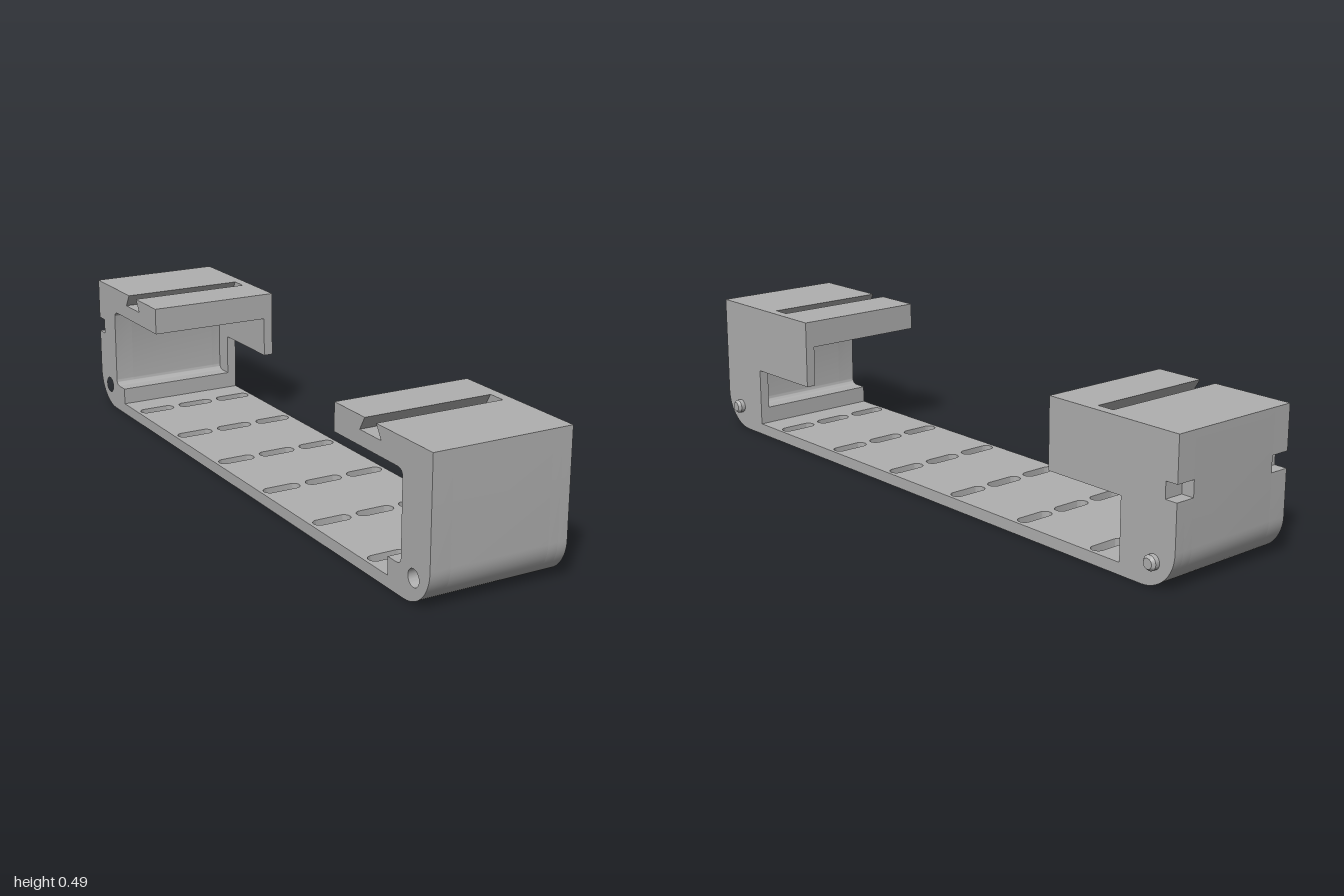
import * as THREE from 'three';
import { toCreasedNormals } from 'three/addons/utils/BufferGeometryUtils.js';

const END = 1.17, HALF = 0.244, TOP = 0.49, PLATE = 0.04, FOOT = 0.95, LIP = 0.64;
const PIN_X = 1.087, PIN_Y = 0.083;

// Outline of one hooked end, drawn at +x and flipped by side
function hookShape(side, { notch = false, hole = false, panel = false }) {
  const s = new THREE.Shape();
  const to = (x, y) => s.lineTo(side * x, y);
  const bend = (cx, cy, x, y) => s.quadraticCurveTo(side * cx, cy, side * x, y);
  const r = 0.13;
  s.moveTo(side * FOOT, 0);
  to(END - r, 0);
  // rounded lower corner
  for (let i = 1; i <= 14; i++) {
    const a = (i / 14) * Math.PI / 2;
    to(END - r + r * Math.sin(a), r - r * Math.cos(a));
  }
  if (notch) [[END, 0.285], [END - 0.045, 0.285], [END - 0.045, 0.34], [END, 0.34]].forEach(p => to(...p));
  to(END, TOP);
  if (panel) {
    // closing panel at the back
    to(LIP, TOP); to(LIP, 0.25); to(FOOT, 0.25);
  } else {
    // dovetail groove, then the lip and the filleted pocket
    to(0.876, TOP); to(0.904, 0.445); to(0.786, 0.445); to(0.814, TOP);
    to(LIP, TOP); to(LIP, 0.395);
    to(0.99, 0.395); bend(1.02, 0.395, 1.02, 0.37);
    to(1.02, 0.122); bend(1.02, 0.1, 0.995, 0.1);
    to(FOOT, 0.1);
  }
  s.closePath();
  if (hole) {
    const h = new THREE.Path();
    h.absarc(side * PIN_X, PIN_Y, 0.029, 0, Math.PI * 2, true);
    s.holes.push(h);
  }
  return s;
}

function extrude(shape, depth) {
  return new THREE.ExtrudeGeometry(shape, { depth, bevelEnabled: false, curveSegments: 12 });
}

export function createModel() {
  const grey = new THREE.MeshStandardMaterial({ color: 0xb0b0b0 });
  grey.name = 'grey';
  const model = new THREE.Group();
  model.name = 'bracket';
  const body = new THREE.Group();
  body.name = 'bracketBody';
  body.rotation.y = -Math.PI / 4;
  model.add(body);

  const add = (parent, name, geometry) => {
    const mesh = new THREE.Mesh(toCreasedNormals(geometry, 0.5), grey);
    mesh.name = name;
    parent.add(mesh);
    return mesh;
  };

  // Floor plate with six rows of three slots
  const floor = new THREE.Shape();
  floor.moveTo(-FOOT, -HALF);
  floor.lineTo(FOOT, -HALF);
  floor.lineTo(FOOT, HALF);
  floor.lineTo(-FOOT, HALF);
  floor.closePath();
  const sr = 0.023, sl = 0.045;
  for (let row = 0; row < 6; row++) {
    for (let col = -1; col <= 1; col++) {
      const x = (row - 2.5) * 0.33, z = col * 0.163;
      const slot = new THREE.Path();
      slot.absarc(x, z + sl, sr, 0, Math.PI, false);
      slot.absarc(x, z - sl, sr, Math.PI, Math.PI * 2, false);
      slot.closePath();
      floor.holes.push(slot);
    }
  }
  add(body, 'floorPlate', extrude(floor, PLATE).rotateX(Math.PI / 2).translate(0, PLATE, 0));

  // Hooked ends, built from slices front to back; only one end is notched
  for (const side of [-1, 1]) {
    const hook = new THREE.Group();
    hook.name = side < 0 ? 'rightHook' : 'leftHook';
    body.add(hook);
    const notch = side < 0;
    const slices = [
      ['frontSlice', 0.174, HALF, { notch, hole: true }],
      ['middleSlice', -0.174, 0.174, {}],
      ['rearSlice', -0.209, -0.174, { notch }],
      ['backPanel', -HALF, -0.209, { notch, panel: true }],
    ];
    for (const [name, z0, z1, options] of slices) {
      add(hook, name, extrude(hookShape(side, options), z1 - z0).translate(0, 0, z0));
    }

    // Chamfered locating pin on the back
    const profile = [[0.025, 0], [0.025, 0.016], [0.017, 0.026], [0, 0.026]]
      .map(([x, y]) => new THREE.Vector2(x, y));
    const pin = add(hook, 'locatingPin', new THREE.LatheGeometry(profile, 24).rotateX(-Math.PI / 2));
    pin.position.set(side * PIN_X, PIN_Y, -HALF);
  }
  return model;
}
